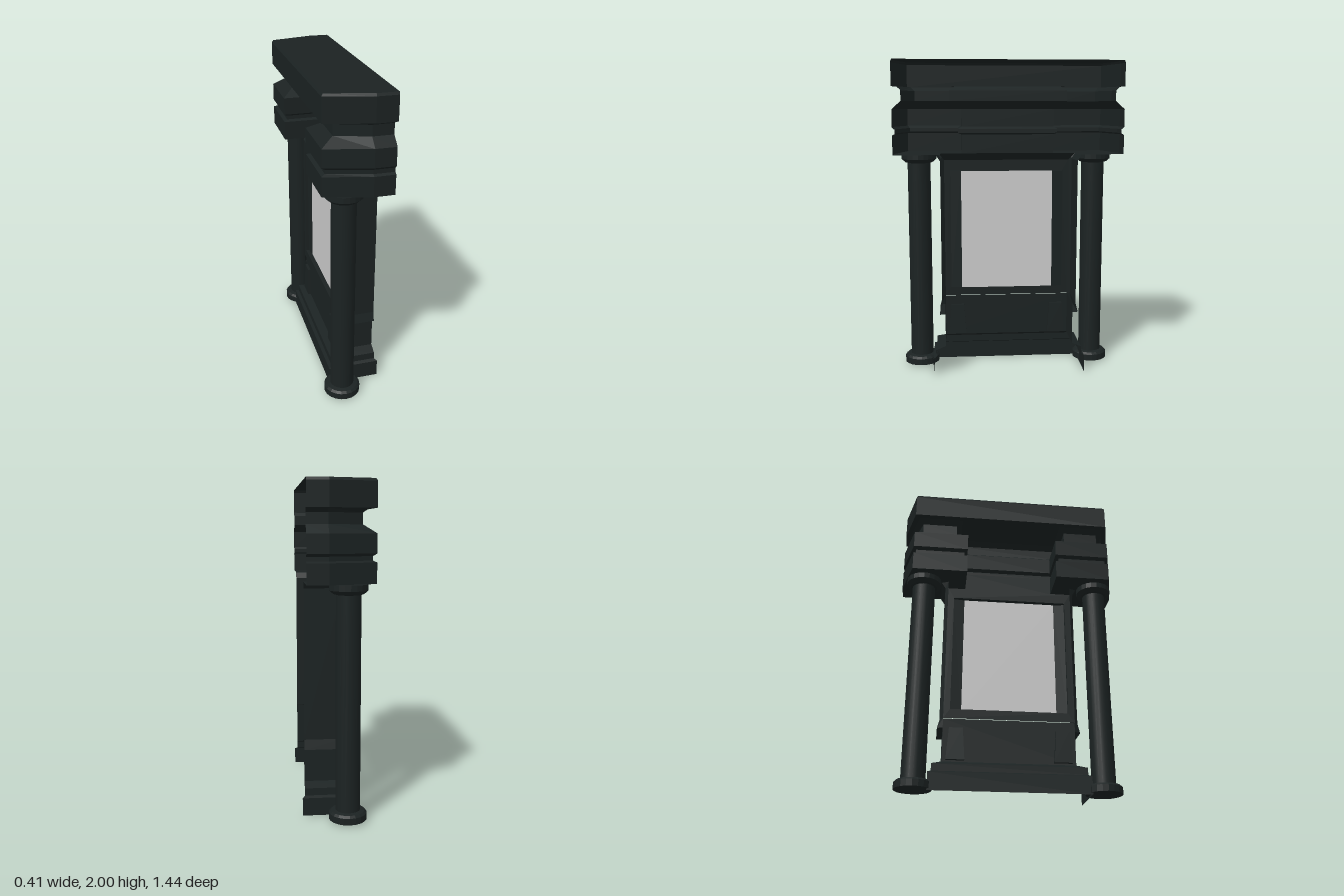
import * as THREE from 'three';

const dark = new THREE.MeshStandardMaterial({ color: 0x1b2222, side: THREE.DoubleSide, flatShading: true });
const smoothDark = new THREE.MeshStandardMaterial({ color: 0x1b2222, side: THREE.DoubleSide });
const grey = new THREE.MeshStandardMaterial({ color: 0xcccccc, side: THREE.DoubleSide });
const BACK = 0.19;      // open rear edge
const CENTRE = 0.035;   // front of the recessed middle of the entablature
const FACE = -0.06;     // front of the window surround

// Skin a stack of open [x, z] outlines, each at its own height
function loft(rows) {
  const pos = [], idx = [], n = rows[0].path.length;
  rows.forEach(r => r.path.forEach(([x, z]) => pos.push(x, r.y, z)));
  for (let j = 0; j < rows.length - 1; j++) {
    for (let i = 0; i < n - 1; i++) {
      const a = j * n + i, b = a + 1, c = a + n, d = c + 1;
      idx.push(a, b, d, a, d, c);
    }
  }
  let g = new THREE.BufferGeometry();
  g.setAttribute('position', new THREE.Float32BufferAttribute(pos, 3));
  g.setIndex(idx);
  g = g.toNonIndexed();
  g.computeVertexNormals();
  return g;
}

// Flat horizontal plate from an [x, z] outline
function plate(path, y) {
  const g = new THREE.ShapeGeometry(new THREE.Shape(path.map(([x, z]) => new THREE.Vector2(x, -z))));
  return g.rotateX(-Math.PI / 2).translate(0, y, 0);
}

// Complete half an outline with its mirror image across z = 0
const mirrored = half => [...half, ...half.slice().reverse().map(([x, z]) => [x, -z])];

// Half outline of one projecting end, drawn in by d
const endHalf = d => [[BACK, 0.72 - 0.75 * d], [0.065, 0.72 - 0.75 * d], [-0.21 + d, 0.65 - 0.7 * d]];
const slabPath = d => mirrored(endHalf(d));
const steppedPath = d => mirrored([...endHalf(d), [-0.21 + d, 0.295 + d], [CENTRE + d, 0.295 + d]]);
const bodyPath = (w, front, back) => mirrored([[back, w], [front, w]]);

export function createModel() {
  const group = new THREE.Group();
  const add = (name, geometry, material = dark) => {
    const m = new THREE.Mesh(geometry, material);
    m.name = name;
    group.add(m);
    return m;
  };

  // Top slab, straight across the front
  const slab = [[1.84, 0.04], [1.84, 0], [1.985, 0], [2, 0.01]];
  add('topSlab', loft(slab.map(([y, d]) => ({ y, path: slabPath(d) }))));
  add('topSlabCover', plate(slabPath(0.01), 2));
  add('topSlabUnderside', plate(mirrored([[-0.17, 0.335], [CENTRE + 0.075, 0.37]]), 1.84));

  // Moulded bands stepping back over the window
  const bands = [
    [1.42, 0], [1.54, 0], [1.55, 0.022], [1.575, 0.022], [1.59, 0],
    [1.7, 0], [1.75, 0.075], [1.815, 0.075], [1.84, 0.04],
  ];
  add('entablature', loft(bands.map(([y, d]) => ({ y, path: steppedPath(d) }))));

  // Soffits above the columns
  for (const s of [1, -1]) {
    const path = [...endHalf(0), [-0.21, 0.295], [CENTRE, 0.295], [CENTRE, 0.43], [BACK, 0.43]];
    add('soffit', plate(path.map(([x, z]) => [x, z * s]), 1.42));
  }

  // Stepped plinth and pedestal, open at the back
  const pedestal = [
    [0, 0.49, -0.12, 0.205], [0.11, 0.49, -0.12, 0.205], [0.12, 0.47, -0.1, BACK], [0.165, 0.47, -0.1, BACK],
    [0.19, 0.41, -0.05, BACK], [0.46, 0.41, -0.05, BACK],
  ];
  add('pedestal', loft(pedestal.map(([y, w, front, back]) => ({ y, path: bodyPath(w, front, back) }))));

  // Raised pilaster blocks on the pedestal
  for (const s of [1, -1]) {
    const block = new THREE.CylinderGeometry(0.06, 0.08, 0.2, 4, 1).rotateY(Math.PI / 4);
    block.scale(0.4, 1, 1).translate(-0.05, 0.3, s * 0.33);
    add('pedestalBlock', block);
  }

  // Side walls of the window bay, with a lip below and a flare at the top
  for (const s of [1, -1]) {
    const rows = [[0.4, 0.41], [0.4, 0.445], [0.46, 0.43], [1.38, 0.43], [1.42, 0.455]];
    add('sideWall', loft(rows.map(([y, w]) => ({
      y, path: [[BACK, s * w], [FACE + 0.02, s * w], [FACE, s * 0.41]],
    }))));
  }

  // Window surround with an opening
  const rect = (T, w, y0, y1) => new T([[-w, y0], [w, y0], [w, y1], [-w, y1]].map(p => new THREE.Vector2(...p)));
  const face = rect(THREE.Shape, 0.41, 0.46, 1.37);
  face.holes.push(rect(THREE.Path, 0.37, 0.52, 1.3));
  add('windowSurround', new THREE.ShapeGeometry(face).rotateY(-Math.PI / 2).translate(FACE, 0, 0));

  // Sloping ledge from the surround up to the entablature
  add('lintelLedge', loft([
    { y: 1.37, path: [[FACE, -0.41], [FACE, 0.41]] },
    { y: 1.42, path: [[CENTRE, -0.44], [CENTRE, 0.44]] },
  ]));

  // Reveal: straight head and sill, jambs narrowing to the pane
  const opening = (w, x) => [[-w, 0.52], [w, 0.52], [w, 1.3], [-w, 1.3], [-w, 0.52]].map(([z, y]) => [y, z, x]);
  const reveal = loft([[0.37, FACE], [0.37, FACE + 0.02], [0.3, FACE + 0.03]].map(([w, x]) => ({
    y: x, path: opening(w, x),
  })));
  const p = reveal.attributes.position;
  for (let i = 0; i < p.count; i++) p.setXYZ(i, p.getY(i), p.getX(i), p.getZ(i));
  reveal.computeVertexNormals();
  add('windowReveal', reveal);

  add('windowPane', new THREE.PlaneGeometry(0.6, 0.78).rotateY(-Math.PI / 2).translate(FACE + 0.03, 0.91, 0), grey);

  // Round columns with base and capital
  const turned = pts => new THREE.LatheGeometry(pts.map(q => new THREE.Vector2(...q)), 20);
  for (const s of [1, -1]) {
    const column = new THREE.Group();
    column.name = 'column';
    const parts = {
      shaft: new THREE.CylinderGeometry(0.074, 0.074, 1.32, 20, 1, true).translate(0, 0.71, 0),
      base: turned([[0, 0.012], [0.113, 0.012], [0.113, 0.052], [0.1, 0.065], [0.074, 0.07]]),
      capital: turned([[0.074, 1.355], [0.09, 1.36], [0.113, 1.38], [0.113, 1.415], [0, 1.415]]),
    };
    for (const [name, g] of Object.entries(parts)) {
      const m = new THREE.Mesh(g, name === 'shaft' ? smoothDark : dark);
      m.name = name;
      column.add(m);
    }
    column.position.set(-0.06, 0, s * 0.572);
    group.add(column);
  }

  return group;
}
